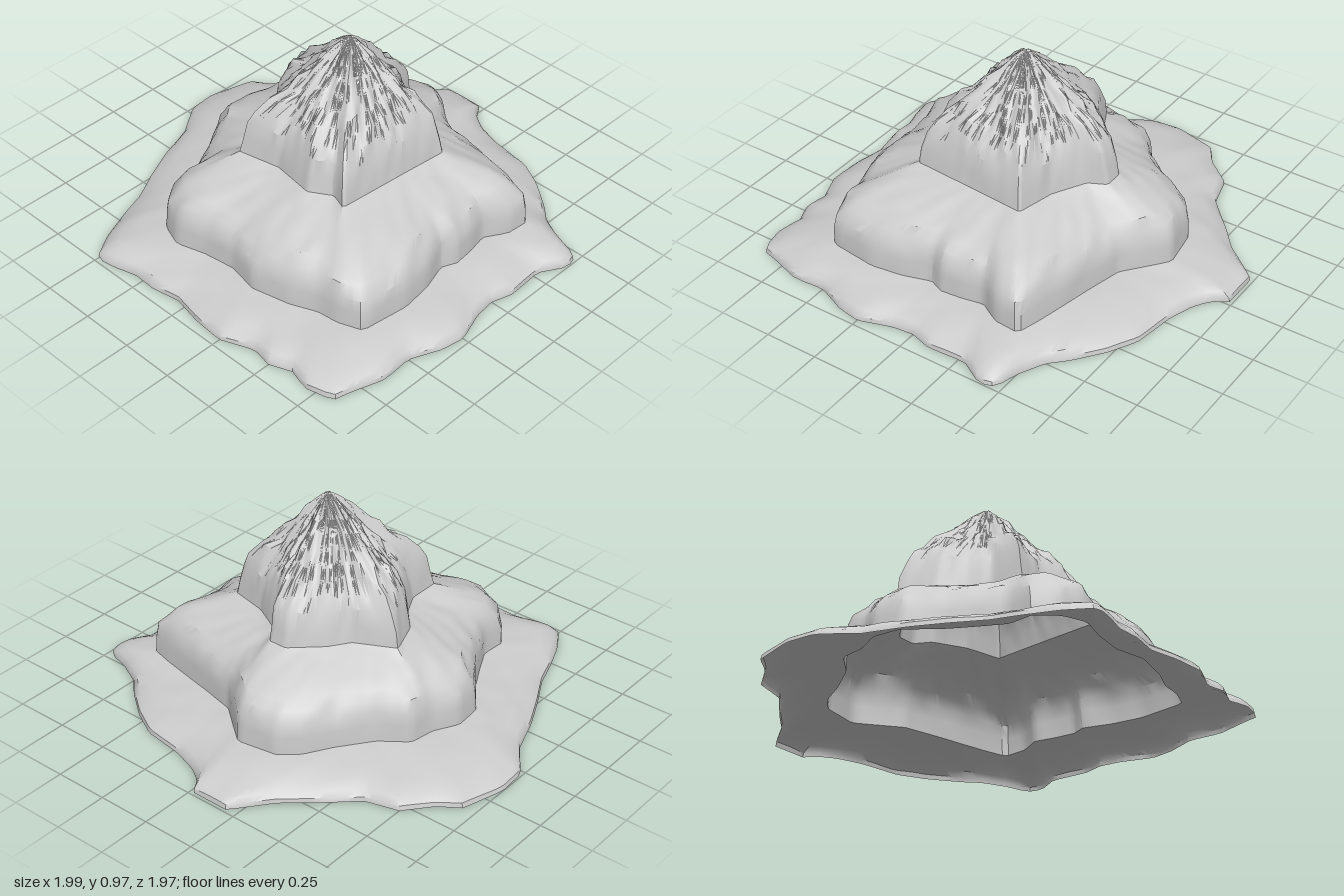
import * as THREE from 'three';
import { toCreasedNormals, mergeVertices } from 'three/addons/utils/BufferGeometryUtils.js';

const SEGMENTS = 180;
const CENTER = [0.05, 0];
const PEAK = [0.075, 0.0];

// Plan outlines as x, z pairs, running from the back round by the +x side.
const shoreOutline = [
  -0.2, -0.985, 0, -0.985, 0.02, -0.92, 0.1, -0.87, 0.22, -0.83, 0.42, -0.8, 0.55, -0.73, 0.68, -0.63,
  0.75, -0.56, 0.87, -0.5, 0.98, -0.47, 1, -0.4, 0.93, -0.28, 0.94, -0.1, 0.91, 0, 0.92, 0.1,
  0.97, 0.25, 0.95, 0.36, 0.89, 0.5, 0.9, 0.65, 0.85, 0.8, 0.83, 0.88, 0.7, 0.91, 0.6, 0.88,
  0.5, 0.92, 0.4, 0.9, 0.25, 0.96, 0.1, 0.95, -0.05, 0.92, -0.18, 0.945, -0.3, 0.94, -0.4, 0.97,
  -0.5, 0.985, -0.57, 0.87, -0.63, 0.72, -0.67, 0.6, -0.75, 0.45, -0.82, 0.3, -0.88, 0.13, -0.99, -0.02,
  -1, -0.16, -0.94, -0.36, -0.85, -0.42, -0.75, -0.54, -0.6, -0.58, -0.45, -0.72, -0.33, -0.82,
];
const terraceOutline = [
  -0.2, -0.67, -0.01, -0.7, 0.08, -0.63, 0.18, -0.55, 0.35, -0.51, 0.5, -0.48, 0.64, -0.45, 0.75, -0.42,
  0.74, -0.3, 0.68, -0.2, 0.7, -0.1, 0.71, 0, 0.68, 0.07, 0.72, 0.2, 0.74, 0.35, 0.72, 0.5,
  0.71, 0.58, 0.6, 0.62, 0.5, 0.63, 0.38, 0.68, 0.2, 0.72, 0.05, 0.69, -0.1, 0.71, -0.24, 0.75,
  -0.35, 0.71, -0.43, 0.62, -0.42, 0.5, -0.48, 0.38, -0.54, 0.27, -0.65, 0.12, -0.66, -0.01, -0.6, -0.12,
  -0.58, -0.24, -0.46, -0.33, -0.35, -0.48, -0.28, -0.6,
];
const summitOutline = [
  -0.16, -0.29, -0.03, -0.41, 0.06, -0.41, 0.1, -0.33, 0.25, -0.25, 0.43, -0.21, 0.41, 0, 0.4, 0.12,
  0.38, 0.36, 0.3, 0.33, 0.2, 0.39, 0, 0.36, -0.2, 0.4, -0.2, 0.25, -0.25, 0.15, -0.34, 0.05,
  -0.4, -0.11, -0.22, -0.2,
];

// Resample an outline at even angles round the centre.
function resample(flat) {
  const n = flat.length / 2;
  const points = [];
  for (let i = 0; i < SEGMENTS; i++) {
    const a = (i / SEGMENTS) * Math.PI * 2;
    const dx = Math.sin(a), dz = Math.cos(a);
    let reach = 0;
    for (let j = 0; j < n; j++) {
      const k = (j + 1) % n;
      const ax = flat[2 * j] - CENTER[0], az = flat[2 * j + 1] - CENTER[1];
      const ex = flat[2 * k] - CENTER[0] - ax, ez = flat[2 * k + 1] - CENTER[1] - az;
      const det = dx * ez - dz * ex;
      if (Math.abs(det) < 1e-9) continue;
      const r = (ax * ez - az * ex) / det;
      const s = (ax * dz - az * dx) / det;
      if (s >= -1e-6 && s <= 1 + 1e-6) reach = Math.max(reach, r);
    }
    points.push([CENTER[0] + dx * reach, CENTER[1] + dz * reach]);
  }
  return points;
}

// Smooth-ish repeatable ruggedness.
const rough = (a, y) =>
  Math.sin(7 * a + 23 * y) * 0.5 + Math.sin(17 * a - 31 * y + 1) * 0.35 + Math.sin(29 * a + 47 * y + 2) * 0.3;

// Ring part-way from one outline to another at height y; bump lifts it, push roughens it.
function ring(from, to, t, y, bump = 0, push = 0) {
  return from.map(([x, z], i) => {
    const a = (i / SEGMENTS) * Math.PI * 2;
    const k = t + push * rough(a, y);
    return [
      THREE.MathUtils.lerp(x, to[i][0], k),
      y + bump * rough(a + 2, y * 3),
      THREE.MathUtils.lerp(z, to[i][1], k),
    ];
  });
}

// Skin a stack of rings from the bottom outwards to the top.
function loft(name, rings, material, crease) {
  const position = [], index = [];
  rings.forEach((r) => r.forEach((p) => position.push(...p)));
  for (let r = 0; r < rings.length - 1; r++) {
    for (let i = 0; i < SEGMENTS; i++) {
      const a = r * SEGMENTS + i, b = r * SEGMENTS + ((i + 1) % SEGMENTS);
      const c = a + SEGMENTS, d = b + SEGMENTS;
      index.push(a, b, d, a, d, c);
    }
  }
  let geometry = new THREE.BufferGeometry();
  geometry.setAttribute('position', new THREE.Float32BufferAttribute(position, 3));
  geometry.setIndex(index);
  geometry = toCreasedNormals(mergeVertices(geometry), crease);
  const mesh = new THREE.Mesh(geometry, material);
  mesh.name = name;
  return mesh;
}

export function createModel() {
  const group = new THREE.Group();
  group.name = 'terracedMountain';
  const stone = new THREE.MeshStandardMaterial({ color: 0xcccccc, side: THREE.DoubleSide });
  stone.name = 'pale grey stone';

  const shore = resample(shoreOutline);
  const terrace = resample(terraceOutline);
  const summit = resample(summitOutline);
  const peak = shore.map(() => PEAK);

  // Broad skirt with a thin lip, open underneath
  const skirt = [[0, 0, 0], [0.015, 0.02, 0.003], [0.1, 0.04, 0.005], [0.3, 0.062, 0.006],
    [0.55, 0.08, 0.006], [0.8, 0.092, 0.004], [1, 0.1, 0]]
    .map(([t, y, bump]) => ring(shore, terrace, t, y, bump));
  group.add(loft('skirt', skirt, stone, 0.6));

  // Lower terrace: fluted cliff, rounded shoulder and sloping shelf
  const shelf = [[0, 0.1, 0, 0], [0.01, 0.18, 0, 0.01], [0.04, 0.24, 0.004, 0.02], [0.13, 0.285, 0.008, 0.03],
    [0.25, 0.32, 0.009, 0.03], [0.45, 0.355, 0.008, 0], [0.7, 0.39, 0.006, 0], [0.9, 0.415, 0.004, 0], [1, 0.43, 0, 0]]
    .map(([t, y, bump, push]) => ring(terrace, summit, t, y, bump, push));
  group.add(loft('lowerTerrace', shelf, stone, 0.6));

  // Summit: steep cliff breaking into a craggy peak
  const crag = [[0, 0.43, 0, 0], [0.03, 0.5, 0, 0.01], [0.08, 0.58, 0.008, 0.02], [0.16, 0.635, 0.014, 0.035],
    [0.28, 0.69, 0.016, 0.045], [0.41, 0.74, 0.014, 0.05], [0.53, 0.79, 0.014, 0.05], [0.65, 0.84, 0.012, 0.04],
    [0.77, 0.89, 0.01, 0.03], [0.88, 0.935, 0.006, 0.02], [0.95, 0.96, 0.002, 0.008], [1, 0.968, 0, 0]]
    .map(([t, y, bump, push]) => ring(summit, peak, t, y, bump, push));
  group.add(loft('summit', crag, stone, 0.5));

  return group;
}
